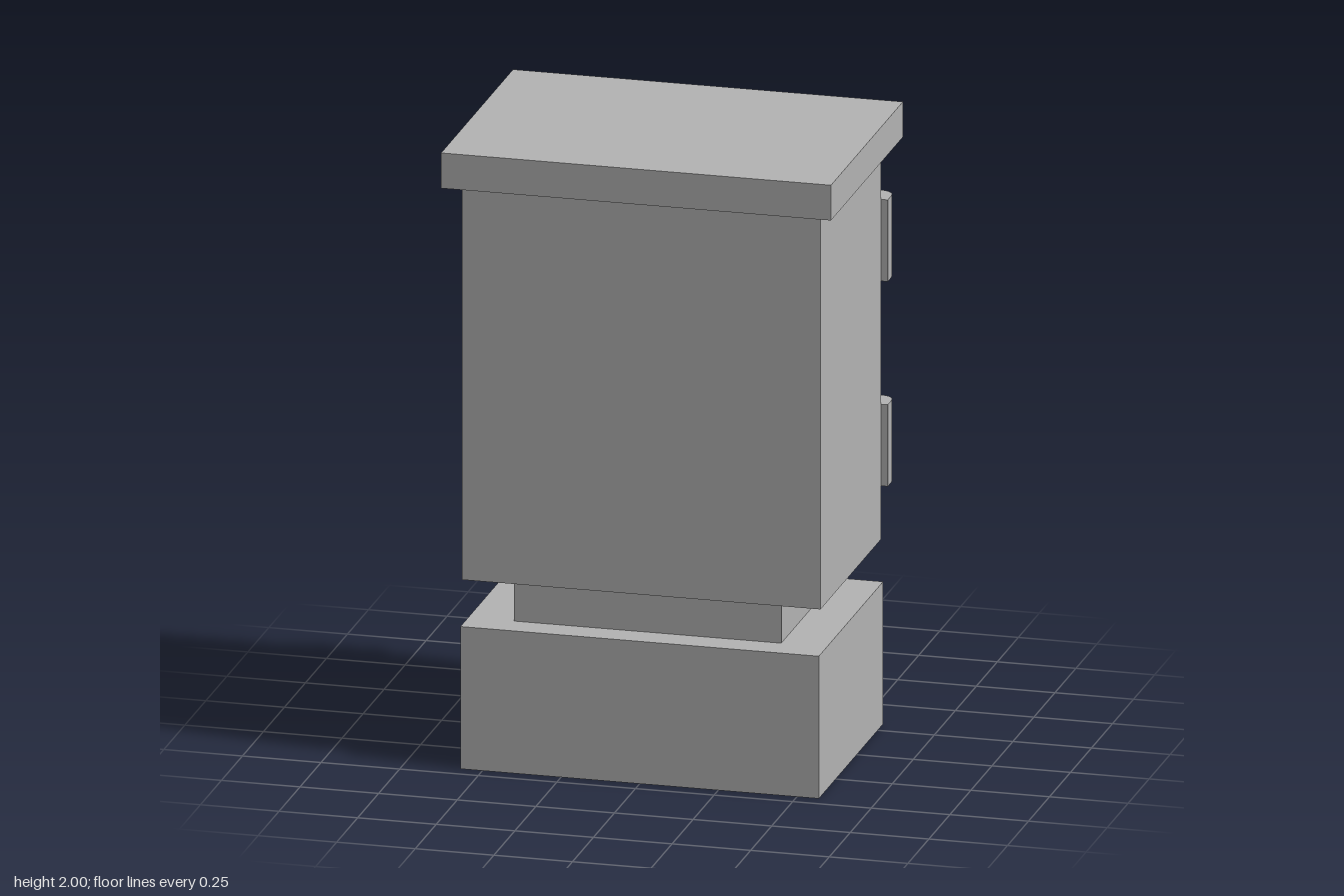
import * as THREE from 'three';
import { toCreasedNormals } from 'three/addons/utils/BufferGeometryUtils.js';

export function createModel() {
  const model = new THREE.Group();
  model.name = 'electricalCabinet';
  const grey = new THREE.MeshStandardMaterial({ color: 0xb3b3b3, side: THREE.DoubleSide });
  grey.name = 'paintedGrey';

  const add = (name, geometry) => {
    const mesh = new THREE.Mesh(geometry, grey);
    mesh.name = name;
    model.add(mesh);
    return mesh;
  };
  // box given by its limits on each axis
  const boxGeo = (x0, x1, y0, y1, z0, z1) =>
    new THREE.BoxGeometry(x1 - x0, y1 - y0, z1 - z0)
      .translate((x0 + x1) / 2, (y0 + y1) / 2, (z0 + z1) / 2);
  // four walls only: drop the top and bottom faces of a box
  const sleeveGeo = (...limits) => {
    const g = boxGeo(...limits);
    const idx = Array.from(g.index.array);
    g.setIndex([...idx.slice(0, 12), ...idx.slice(24)]);
    g.clearGroups();
    return g;
  };
  const shapeOf = (points) => new THREE.Shape(points.map(([x, y]) => new THREE.Vector2(x, y)));
  const rect = (x0, x1, y0, y1) => [[x0, y0], [x1, y0], [x1, y1], [x0, y1]];

  // hollow plinth, open below, with an opening under the neck
  add('plinthWalls', sleeveGeo(-0.57, 0.57, 0, 0.46, -0.315, 0.45));
  const top = shapeOf(rect(-0.57, 0.57, -0.45, 0.315));
  top.holes.push(shapeOf(rect(-0.425, 0.425, -0.355, 0.215)));
  add('plinthTop', new THREE.ShapeGeometry(top).rotateX(-Math.PI / 2).translate(0, 0.46, 0));
  add('neck', sleeveGeo(-0.425, 0.425, 0.46, 0.605, -0.215, 0.355));

  // cabinet, roof and rear door
  add('cabinetBody', boxGeo(-0.57, 0.57, 0.605, 1.886, -0.29, 0.43));
  add('roof', boxGeo(-0.62, 0.62, 1.886, 2, -0.363, 0.493));
  add('door', boxGeo(-0.52, 0.52, 0.65, 1.83, -0.38, -0.29));

  // rounded hinges on both door edges
  for (const side of [1, -1]) {
    for (const y of [0.778, 1.44]) {
      const s = new THREE.Shape();
      s.moveTo(side * 0.515, 0.288);
      s.lineTo(side * 0.592, 0.288);
      s.lineTo(side * 0.592, 0.33);
      s.quadraticCurveTo(side * 0.592, 0.378, side * 0.54, 0.379);
      s.lineTo(side * 0.515, 0.379);
      const g = new THREE.ExtrudeGeometry(s, { depth: 0.264, bevelEnabled: false, curveSegments: 6 });
      g.rotateX(-Math.PI / 2).translate(0, y, 0);
      add(side > 0 ? 'leftHinge' : 'rightHinge', toCreasedNormals(g, 0.6));
    }
  }

  // handle plate with cut corners
  const plate = shapeOf([
    [-0.17, 1.12], [-0.11, 1.12], [-0.082, 1.147], [-0.082, 1.433],
    [-0.11, 1.46], [-0.17, 1.46], [-0.2, 1.433], [-0.2, 1.147],
  ]);
  add('handlePlate', new THREE.ExtrudeGeometry(plate, { depth: 0.06, bevelEnabled: false })
    .translate(0, 0, -0.44));

  // lever: outer face slopes away from the door towards the bottom
  const lever = shapeOf([
    [-0.178, 1.175], [-0.106, 1.175], [-0.106, 1.385],
    [-0.126, 1.415], [-0.158, 1.415], [-0.178, 1.385],
  ]);
  const leverGeo = new THREE.ExtrudeGeometry(lever, { depth: 1, bevelEnabled: false });
  const p = leverGeo.attributes.position;
  for (let i = 0; i < p.count; i++) {
    const outer = p.getZ(i) < 0.5;
    p.setZ(i, outer ? -0.458 - (1.415 - p.getY(i)) * 0.145 : -0.435);
  }
  leverGeo.computeVertexNormals();
  add('handleLever', leverGeo);

  // round lock below the handle
  add('lock', new THREE.CylinderGeometry(0.043, 0.043, 0.04, 24)
    .rotateX(Math.PI / 2).translate(-0.14, 1.06, -0.39));

  return model;
}
